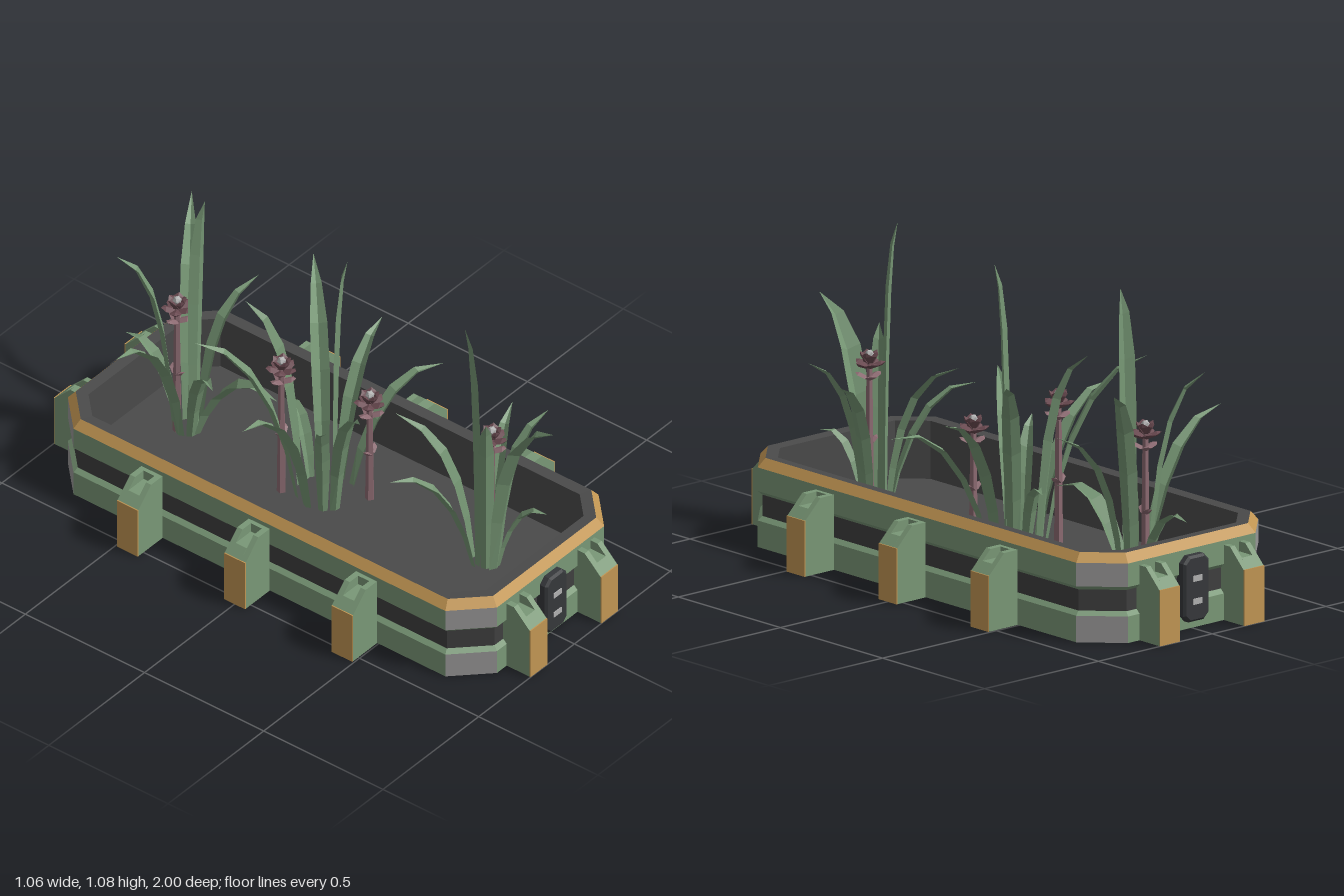
import * as THREE from 'three';

const mat = (name, color, side = THREE.FrontSide) => {
  const m = new THREE.MeshStandardMaterial({ color, side, flatShading: true });
  m.name = name;
  return m;
};

const FLOOR = 0.1;

export function createModel() {
  const M = {
    body: mat('sage green', 0x7a9877),
    trim: mat('ochre', 0xc29653),
    soil: mat('charcoal', 0x4a4a4a),
    groove: mat('dark charcoal', 0x3f3f3f),
    corner: mat('grey', 0x999898),
    badge: mat('black', 0x36383b),
    mark: mat('light grey', 0xb2b2b2),
    leaf: mat('leaf green', 0x769674, THREE.DoubleSide),
    flower: mat('dark plum', 0x6a4a51),
    stalk: mat('dusty rose', 0x8c6a71),
  };
  const root = new THREE.Group();
  root.name = 'planter';
  const add = (parent, name, geo, material, x = 0, y = 0, z = 0) => {
    const m = new THREE.Mesh(geo, material);
    m.name = name;
    m.position.set(x, y, z);
    parent.add(m);
    return m;
  };
  const group = (parent, name) => {
    const g = new THREE.Group();
    g.name = name;
    parent.add(g);
    return g;
  };

  // Octagonal outline, moved inwards by d; null collapses it to the centre
  const outline = (d, y) => {
    if (d === null) return Array.from({ length: 8 }, () => [0, y, 0]);
    const X = 0.4 - d, Z = 0.9 - d, c = 0.12 - 0.586 * d;
    return [[c - X, Z], [X - c, Z], [X, Z - c], [X, c - Z], [X - c, -Z], [c - X, -Z], [-X, c - Z], [-X, Z - c]]
      .map(([x, z]) => [x, y, z]);
  };
  // Skin between outlines given as [inset, height]; long sides and corners are separate groups
  const shell = (name, profile, side, corner = side) => {
    const pos = [], geo = new THREE.BufferGeometry();
    const rings = profile.map(([d, y]) => outline(d, y));
    for (const odd of [0, 1]) {
      const start = pos.length / 3;
      for (let r = 0; r + 1 < rings.length; r++) {
        const lo = rings[r], hi = rings[r + 1];
        for (let i = odd; i < 8; i += 2) {
          const j = (i + 1) % 8;
          if (profile[r][0] !== null) pos.push(...lo[i], ...lo[j], ...hi[j]);
          if (profile[r + 1][0] !== null) pos.push(...lo[i], ...hi[j], ...hi[i]);
        }
      }
      geo.addGroup(start, pos.length / 3 - start, odd);
    }
    geo.setAttribute('position', new THREE.Float32BufferAttribute(pos, 3));
    geo.computeVertexNormals();
    add(root, name, geo, [side, corner]);
  };

  // Box, from the underside up over the rim and down to the soil
  shell('underside', [[null, 0], [0, 0]], M.body);
  shell('lowerBand', [[0, 0], [0, 0.09]], M.body, M.corner);
  shell('lowerLedge', [[0, 0.09], [0.015, 0.104]], M.body);
  shell('groove', [[0.015, 0.104], [0.015, 0.176]], M.groove);
  shell('upperLedge', [[0.015, 0.176], [0, 0.19]], M.body);
  shell('upperBand', [[0, 0.19], [0, 0.27]], M.body, M.corner);
  shell('rim', [[0, 0.27], [0.025, 0.3]], M.trim);
  shell('innerLip', [[0.025, 0.3], [0.065, 0.297]], M.soil);
  shell('innerWall', [[0.065, 0.297], [0.065, FLOOR]], M.soil);
  shell('soil', [[0.065, FLOOR], [null, FLOOR]], M.soil);

  // Clips: a notched middle slice between two full slices, with a coloured face plate
  const slice = (pts, width, z) => {
    const s = new THREE.Shape(pts.map(p => new THREE.Vector2(...p)));
    return new THREE.ExtrudeGeometry(s, { depth: width, bevelEnabled: false }).translate(0, 0, z - width / 2);
  };
  const full = [[-0.125, 0], [0, 0], [0, 0.19], [-0.066, 0.255], [-0.125, 0.255]];
  const cut = [[-0.125, 0], [0, 0], [0, 0.19], [-0.031, 0.221], [-0.11, 0.221], [-0.11, 0.255], [-0.125, 0.255]];
  const cheekL = slice(full, 0.021, 0.0335), cheekR = slice(full, 0.021, -0.0335), middle = slice(cut, 0.046, 0);
  const plate = new THREE.BoxGeometry(0.004, 0.19, 0.088);
  const clip = (x, z, turn) => {
    const g = group(root, 'clip');
    add(g, 'clipCheek', cheekL, M.body);
    add(g, 'clipCheek', cheekR, M.body);
    add(g, 'clipMiddle', middle, M.body);
    add(g, 'clipFace', plate, M.trim, 0.002, 0.095, 0);
    g.position.set(x, 0, z);
    g.rotation.y = turn;
  };
  for (const z of [-0.45, 0, 0.45]) {
    clip(0.526, z, 0);
    clip(-0.526, z, Math.PI);
  }
  for (const x of [-0.185, 0.185]) {
    clip(x, 0.996, -Math.PI / 2);
    clip(x, -0.996, Math.PI / 2);
  }

  // Control panels on both ends
  const panelShape = (w, h, c) => new THREE.Shape(
    [[c - w, -h], [w - c, -h], [w, c - h], [w, h - c], [w - c, h], [c - w, h], [-w, h - c], [-w, c - h]]
      .map(p => new THREE.Vector2(...p)));
  const panelGeo = new THREE.ExtrudeGeometry(panelShape(0.048, 0.104, 0.018),
    { depth: 0.03, bevelThickness: 0.008, bevelSize: 0.008, bevelSegments: 1 });
  const markGeo = new THREE.BoxGeometry(0.04, 0.02, 0.004);
  for (const turn of [0, Math.PI]) {
    const g = group(root, 'controlPanel');
    add(g, 'panel', panelGeo, M.badge, 0, 0.14, 0.89);
    for (const y of [0.175, 0.097]) add(g, 'panelMark', markGeo, M.mark, 0, y, 0.929);
    g.rotation.y = turn;
  }

  // Folded, tapering blade that rises steeply, then arcs over to its tip; low far ones droop
  const blade = (cx, cz, spread, [x, y, z, wide]) => {
    const out = new THREE.Vector3(x - cx, 0, z - cz), reach = out.length(), rise = y - FLOOR;
    out.normalize();
    const a = new THREE.Vector3(cx, FLOOR, cz).addScaledVector(out, Math.min(spread, reach / 2));
    const b = new THREE.Vector3(x, y, z);
    const width = wide ?? 0.037 + 0.03 * Math.hypot(reach, rise);
    const droop = Math.max(0, 0.2 - 0.125 * rise / reach);
    const c1 = a.clone().lerp(b, 0.14), c2 = a.clone().lerp(b, droop > 0 ? 0.5 : 0.35);
    c1.y = FLOOR + rise * 0.5;
    c2.y = FLOOR + rise * 0.92 + droop;
    const curve = new THREE.CubicBezierCurve3(a, c1, c2, b);
    const side = new THREE.Vector3(out.z, 0, -out.x);
    const pos = [], idx = [];
    [0.6, 0.85, 1, 0.95, 0.6, 0].forEach((t, i) => {
      const w = width * t / 2;
      const fold = new THREE.Vector3(0, 1, 0).sub(out).multiplyScalar(w * 0.45);
      for (const k of [-1, 0, 1]) {
        const v = curve.getPoint(i / 5).addScaledVector(side, k * w).addScaledVector(fold, Math.abs(k));
        pos.push(v.x, i ? v.y : FLOOR, v.z);
      }
      if (i < 5) for (const n of [i * 3, i * 3 + 1]) idx.push(n, n + 1, n + 4, n, n + 4, n + 3);
    });
    const g = new THREE.BufferGeometry();
    g.setAttribute('position', new THREE.Float32BufferAttribute(pos, 3));
    g.setIndex(idx);
    g.computeVertexNormals();
    return g;
  };

  // Flower: stalk with bracts, two tiers of broad petals and a pale heart
  const petalGeo = new THREE.SphereGeometry(0.03, 4, 3).scale(0.75, 1, 0.3).translate(0, 0.028, 0);
  const whorl = (parent, name, n, y, tilt, size, material, phase) => {
    for (let i = 0; i < n; i++) {
      const p = add(parent, name, petalGeo, material, 0, y, 0);
      p.rotation.set(tilt, phase + i * Math.PI * 2 / n, 0, 'YXZ');
      p.scale.setScalar(size);
    }
  };
  const flower = (parent, x, y, z) => {
    const g = group(parent, 'flower'), h = y - FLOOR;
    g.position.set(x, FLOOR, z);
    add(g, 'stalk', new THREE.CylinderGeometry(0.01, 0.016, h, 5), M.stalk, 0, h / 2, 0);
    whorl(g, 'bract', 2, h * 0.45, 0.9, 0.75, M.stalk, x * 20);
    whorl(g, 'bract', 3, h - 0.06, 1.2, 0.9, M.stalk, 0.5);
    whorl(g, 'outerPetal', 5, h - 0.02, 1.2, 1, M.flower, 0.2);
    whorl(g, 'innerPetal', 5, h - 0.01, 0.6, 0.95, M.flower, 0.8);
    add(g, 'flowerHeart', new THREE.IcosahedronGeometry(0.016, 0), M.mark, 0, h + 0.025, 0);
  };

  // Clump of leaves, given by their tips, around a centre, with its flower heads
  const plant = (cx, cz, spread, tips, heads) => {
    const g = group(root, 'plant');
    for (const tip of tips) add(g, 'leaf', blade(cx, cz, spread, tip), M.leaf);
    for (const head of heads) flower(g, ...head);
  };
  plant(0.06, 0.58, 0.05, [
    [0, 1.08, 0.54], [0.04, 0.78, 0.88, 0.085], [-0.23, 0.52, 0.41], [-0.04, 0.63, 0.28],
    [0.29, 0.63, 0.66], [0.3, 0.58, 0.5], [0.13, 0.35, 0.78], [0, 0.72, 0.63],
  ], [[0.08, 0.61, 0.59]]);
  plant(0.02, -0.06, 0.1, [
    [0.06, 1.06, 0], [0.33, 0.76, -0.36], [-0.29, 0.76, -0.36], [-0.4, 0.6, -0.07], [0.38, 0.59, -0.11],
    [0.4, 0.5, 0.13], [-0.16, 0.63, 0.23], [-0.05, 0.8, -0.34], [0.1, 0.34, -0.28], [-0.16, 0.5, 0.06],
  ], [[-0.06, 0.61, -0.18], [0.09, 0.5, 0.07]]);
  plant(0.01, -0.63, 0.05, [
    [0, 1.08, -0.55], [-0.15, 0.82, -0.8], [0.28, 0.82, -0.83], [-0.39, 0.63, -0.61],
    [0.27, 0.62, -0.54], [0.04, 0.36, -0.28, 0.07], [-0.17, 0.48, -0.38], [0.02, 0.36, -0.9],
  ], [[-0.02, 0.61, -0.65]]);
  return root;
}
